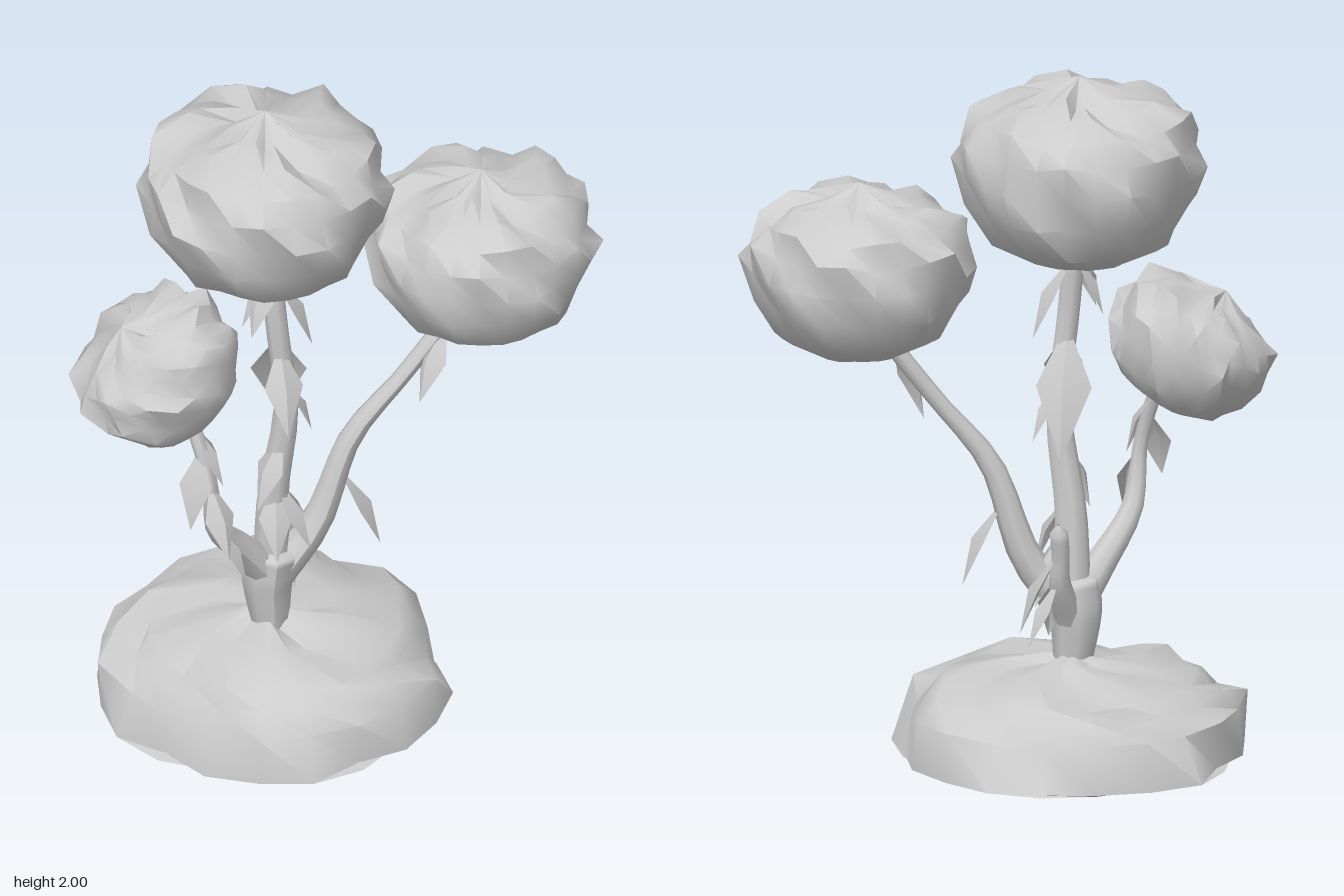
import * as THREE from 'three';
import { mergeVertices, toCreasedNormals } from 'three/addons/utils/BufferGeometryUtils.js';

const vec = (x, y, z) => new THREE.Vector3(x, y, z);

function seeded(seed) {
  return () => {
    seed = (seed * 16807) % 2147483647;
    return seed / 2147483647;
  };
}

function addMesh(parent, geometry, name) {
  const material = new THREE.MeshStandardMaterial({ color: 0xcccccc, side: THREE.DoubleSide });
  const mesh = new THREE.Mesh(geometry, material);
  mesh.name = name;
  parent.add(mesh);
}

// Lathed lump whose surface steps in swirling, overlapping flakes
function lump({ profile, sides, teeth, twist, depth, rough, seed, centre, size, pitch = 0, roll = 0 }) {
  const rand = seeded(seed);
  const rows = profile.length;
  const noise = Array.from({ length: sides * rows }, () => (rand() - 0.5) * rough);
  const geo = new THREE.LatheGeometry(profile.map(([r, y]) => new THREE.Vector2(r, y)), sides);
  geo.deleteAttribute('uv');
  geo.deleteAttribute('normal');
  const p = geo.attributes.position;
  for (let i = 0; i < p.count; i++) {
    const row = i % rows;
    const column = Math.floor(i / rows) % sides;
    if (row === 0 || row === rows - 1) continue;
    const turn = (column / sides) * teeth + row * twist;
    const saw = turn - Math.floor(turn) - 0.5;
    const bump = noise[column * rows + row];
    // The underside is smoother than the top
    const k = 1 + saw * depth * (row < 3 ? 0.4 : 1) + bump;
    const rise = row < 4 ? 0 : saw * depth * 0.8 + bump;
    p.setXYZ(i, p.getX(i) * k, p.getY(i) + rise, p.getZ(i) * k);
  }
  geo.center();
  const extent = geo.boundingBox.getSize(vec(0, 0, 0));
  geo.scale(...vec(...size).divide(extent));
  geo.rotateX(pitch);
  geo.rotateZ(roll);
  geo.translate(...centre);
  return toCreasedNormals(mergeVertices(geo, 1e-4), 0.9);
}

// Round stem along a curve, tapering from r0 to r1, closed at its tip
function stem(curve, r0, r1) {
  const steps = 14, sides = 8;
  const geo = new THREE.TubeGeometry(curve, steps, 1, sides);
  const p = geo.attributes.position;
  const q = vec(0, 0, 0);
  for (let i = 0; i < p.count; i++) {
    const t = Math.floor(i / (sides + 1)) / steps;
    const c = curve.getPointAt(t);
    const r = t === 1 ? 0.004 : THREE.MathUtils.lerp(r0, r1, Math.min(1, t * 1.6));
    q.fromBufferAttribute(p, i).sub(c).multiplyScalar(r).add(c);
    p.setXYZ(i, q.x, q.y, q.z);
  }
  geo.computeVertexNormals();
  return geo;
}

// Pointed leaf folded along its rib, drooping from base in the given compass direction
function leaf(base, degrees, length) {
  const a = THREE.MathUtils.degToRad(degrees);
  const out = vec(Math.sin(a), 0, Math.cos(a));
  const tip = base.clone().addScaledVector(out, length * 0.42);
  tip.y -= length * 0.9;
  const side = vec(out.z, 0, -out.x);
  const at = (t, s, lift) => base.clone().lerp(tip, t).addScaledVector(side, s * length).addScaledVector(out, lift * length);
  const corners = [base, at(0.45, -0.2, 0.02), at(0.45, 0, 0.14), at(0.45, 0.2, 0.02), tip];
  const geo = new THREE.BufferGeometry().setFromPoints(corners);
  geo.setIndex([0, 1, 2, 0, 2, 3, 1, 4, 2, 2, 4, 3]);
  return toCreasedNormals(geo, 0.5);
}

// Stem with its leaves, each given as [place along the stem, compass direction, length]
function branch(parent, name, path, r0, r1, leaves) {
  const group = new THREE.Group();
  group.name = name;
  parent.add(group);
  const curve = new THREE.CatmullRomCurve3(path.map((q) => vec(...q)));
  addMesh(group, stem(curve, r0, r1), 'stem');
  for (const [t, degrees, length] of leaves) addMesh(group, leaf(curve.getPointAt(t), degrees, length), 'leaf');
}

export function createModel() {
  const model = new THREE.Group();
  model.name = 'tree';

  // Mound of earth, hollowed underneath and low at the back
  addMesh(model, lump({
    profile: [[0, 0.22], [0.6, 0.18], [0.95, 0.02], [1, 0.04], [0.95, 0.5], [0.82, 0.66], [0.72, 0.76],
      [0.4, 0.87], [0.15, 0.92], [0, 1]],
    sides: 20, teeth: 5, twist: 0.25, depth: 0.12, rough: 0.06, seed: 31,
    centre: [-0.18, 0.16, 0], size: [1, 0.29, 1.02], pitch: 0.025,
  }), 'mound');

  // Foliage crowns
  const crown = (name, seed, centre, size, roll) => addMesh(model, lump({
    profile: [[0, -1], [0.45, -0.96], [0.76, -0.74], [0.94, -0.36], [1, 0], [0.98, 0.34], [0.88, 0.6],
      [0.6, 0.73], [0.28, 0.8], [0, 1]],
    sides: 24, teeth: 6, twist: 0.42, depth: 0.16, rough: 0.07, seed, centre, size, roll,
  }), name);
  crown('topCrown', 7, [-0.205, 1.73, 0.05], [0.71, 0.54, 0.74], 0);
  crown('leftCrown', 19, [0.43, 1.46, 0.055], [0.66, 0.5, 0.67], 0);
  crown('rightCrown', 43, [-0.52, 1.19, 0.06], [0.49, 0.37, 0.52], 0.62);

  // Trunk and branches
  branch(model, 'trunk', [[-0.18, 0.24, 0.02], [-0.19, 0.4, 0.02], [-0.18, 0.53, 0.03]], 0.052, 0.078, []);
  branch(model, 'mainBranch',
    [[-0.18, 0.42, 0.02], [-0.18, 0.7, 0.04], [-0.15, 1, 0.07], [-0.18, 1.3, 0.08], [-0.2, 1.58, 0.06]], 0.055, 0.032,
    [[0.9, 85, 0.28], [0.92, -50, 0.22], [0.9, -100, 0.2], [0.72, 165, 0.4], [0.7, 0, 0.28], [0.58, 100, 0.2],
      [0.43, -60, 0.25], [0.28, -10, 0.24], [0.29, 60, 0.25], [0.23, 110, 0.28]]);
  branch(model, 'leftBranch',
    [[-0.17, 0.42, 0.03], [-0.05, 0.58, 0.03], [0.05, 0.86, 0.04], [0.2, 1.05, 0.05], [0.42, 1.34, 0.05]], 0.055, 0.025,
    [[0.35, 80, 0.29], [0.86, -60, 0.26]]);
  branch(model, 'rightBranch',
    [[-0.19, 0.43, 0.03], [-0.27, 0.54, 0.07], [-0.37, 0.68, 0.14], [-0.4, 0.87, 0.17], [-0.46, 1.12, 0.1]], 0.055, 0.022,
    [[0.88, 60, 0.22], [0.78, -30, 0.24], [0.64, 20, 0.24], [0.44, 70, 0.22]]);
  branch(model, 'stub',
    [[-0.17, 0.4, 0], [-0.13, 0.54, -0.08], [-0.13, 0.62, -0.1], [-0.12, 0.72, -0.12]], 0.045, 0.026,
    [[0.75, 70, 0.28], [0.5, 100, 0.22], [0.55, 10, 0.24]]);

  return model;
}
